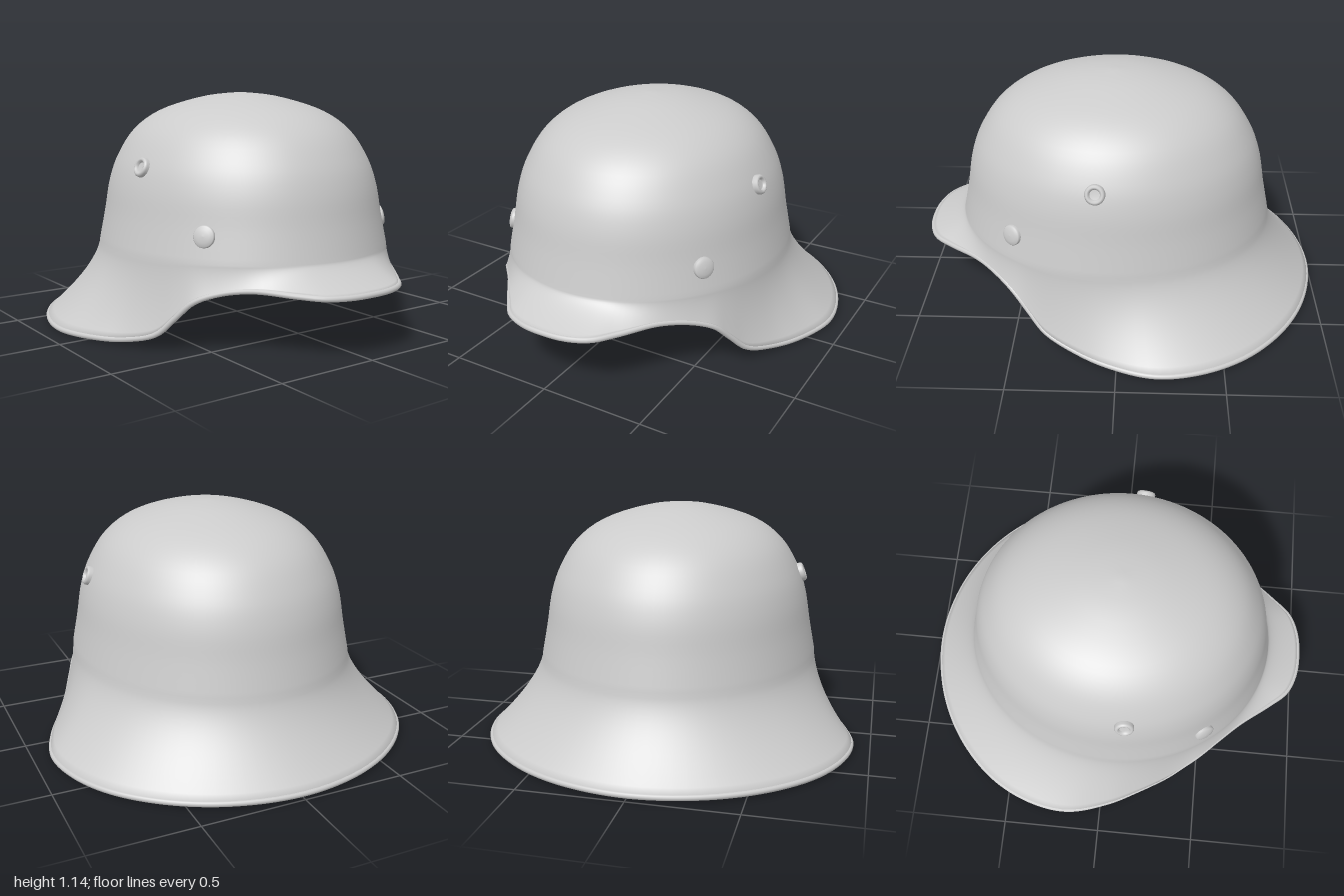
import * as THREE from 'three';
import { mergeVertices } from 'three/addons/utils/BufferGeometryUtils.js';

const RX = 0.682, RZ = 0.772, CZ = 0.03, BROW = 0.405; // crown ellipse and the height where it starts to flare
const HALF = 0.011; // half the sheet thickness

// Half of the brim edge from front to back: x, y, z
const brim = [
  [0, 0.288, 1], [0.12, 0.288, 0.988], [0.22, 0.29, 0.945], [0.3, 0.295, 0.855], [0.42, 0.304, 0.7],
  [0.52, 0.285, 0.59], [0.6, 0.24, 0.5], [0.65, 0.16, 0.425], [0.7, 0.078, 0.345], [0.78, 0.034, 0.2],
  [0.86, 0.02, 0.04], [0.92, 0.015, -0.18], [0.885, 0.015, -0.4], [0.77, 0.018, -0.62],
  [0.56, 0.022, -0.82], [0.3, 0.025, -0.95], [0, 0.026, -1],
].map(([x, y, z]) => new THREE.Vector3(x * 0.986, y, z * 0.988));
const mirrored = brim.slice(1, -1).reverse().map((p) => new THREE.Vector3(-p.x, p.y, p.z));
const rimCurve = new THREE.CatmullRomCurve3([...brim, ...mirrored], true);

// Crown profile: share of the ellipse radius against height
const crown = new THREE.SplineCurve([
  [0, 1.13], [0.25, 1.11], [0.55, 1.045], [0.74, 0.953], [0.86, 0.825],
  [0.923, 0.7], [0.96, 0.55], [1, BROW],
].map(([s, y]) => new THREE.Vector2(s, y)));

// Steel shell: one meridian per rim point, down the outside and back up the inside
function shellGeometry() {
  const N = 144, DOME = 30, FLARE = 14;
  const pos = [], index = [];
  let rows = 0;
  for (let i = 0; i < N; i++) {
    const rim = rimCurve.getPoint(i / N);
    const t = Math.atan2(rim.x / RX, (rim.z - CZ) / RZ);
    const bx = RX * Math.sin(t), bz = RZ * Math.cos(t);
    const base = Math.hypot(bx, bz), reach = Math.hypot(rim.x, rim.z - CZ);
    const line = crown.getPoints(DOME).map((p) => new THREE.Vector2(p.x * base, p.y));
    for (let k = 1; k <= FLARE; k++) {
      const v = k / FLARE;
      line.push(new THREE.Vector2(base + (reach - base) * v ** 1.6, BROW + (rim.y - BROW) * v));
    }
    const outer = [], inner = [];
    line.forEach((p, j) => {
      const a = line[Math.max(j - 1, 0)], b = line[Math.min(j + 1, line.length - 1)];
      const n = new THREE.Vector2(a.y - b.y, b.x - a.x).normalize().multiplyScalar(HALF);
      if (j === 0) n.set(0, HALF);
      outer.push(p.clone().add(n));
      inner.unshift(p.clone().sub(n));
    });
    const loop = [...outer, ...inner];
    rows = loop.length;
    for (const p of loop) pos.push(p.x * bx / base, p.y, CZ + p.x * bz / base);
  }
  for (let i = 0; i < N; i++) {
    for (let j = 0; j < rows - 1; j++) {
      const a = i * rows + j, c = ((i + 1) % N) * rows + j;
      index.push(a, a + 1, c, c, a + 1, c + 1);
    }
  }
  const geo = new THREE.BufferGeometry();
  geo.setAttribute('position', new THREE.Float32BufferAttribute(pos, 3));
  geo.setIndex(index);
  const merged = mergeVertices(geo, 1e-5);
  merged.computeVertexNormals();
  return merged;
}

// Turned fitting with its axis on y
function turned(points) {
  return new THREE.LatheGeometry(points.map(([x, y]) => new THREE.Vector2(x, y)), 32);
}

export function createModel() {
  const group = new THREE.Group();
  const mat = new THREE.MeshStandardMaterial({ color: 0xcccccc });
  const add = (name, geo) => {
    const mesh = new THREE.Mesh(geo, mat);
    mesh.name = name;
    group.add(mesh);
    return mesh;
  };

  add('shell', shellGeometry());
  add('rolledRim', new THREE.TubeGeometry(rimCurve, 200, 0.0135, 10, true));

  // Domed liner rivets and ventilation eyelets, mirrored on both sides
  const rivet = turned([[0.05, -0.015], [0.05, 0.003], [0.046, 0.009], [0.03, 0.014], [0.014, 0.016], [0, 0.017]]);
  const eyelet = turned([[0.047, -0.02], [0.047, 0.006], [0.042, 0.014], [0.035, 0.017], [0.028, 0.014],
    [0.024, 0.004], [0.023, 0.002], [0, 0.002]]);
  const up = new THREE.Vector3(0, 1, 0);
  for (const side of [-1, 1]) {
    const place = (name, geo, x, y, z, tilt) => {
      const mesh = add(name, geo);
      const normal = new THREE.Vector3(x / RX ** 2, 0, (z - CZ) / RZ ** 2).normalize();
      normal.x *= side;
      normal.y = tilt;
      mesh.quaternion.setFromUnitVectors(up, normal.normalize());
      mesh.position.set(side * x, y, z).addScaledVector(normal, 0.002);
    };
    const prefix = side > 0 ? 'left' : 'right';
    place(prefix + 'Rivet', rivet, 0.533, 0.525, 0.495, 0.2);
    place(prefix + 'VentEyelet', eyelet, 0.611, 0.8, 0.1, 0.37);
  }
  return group;
}
